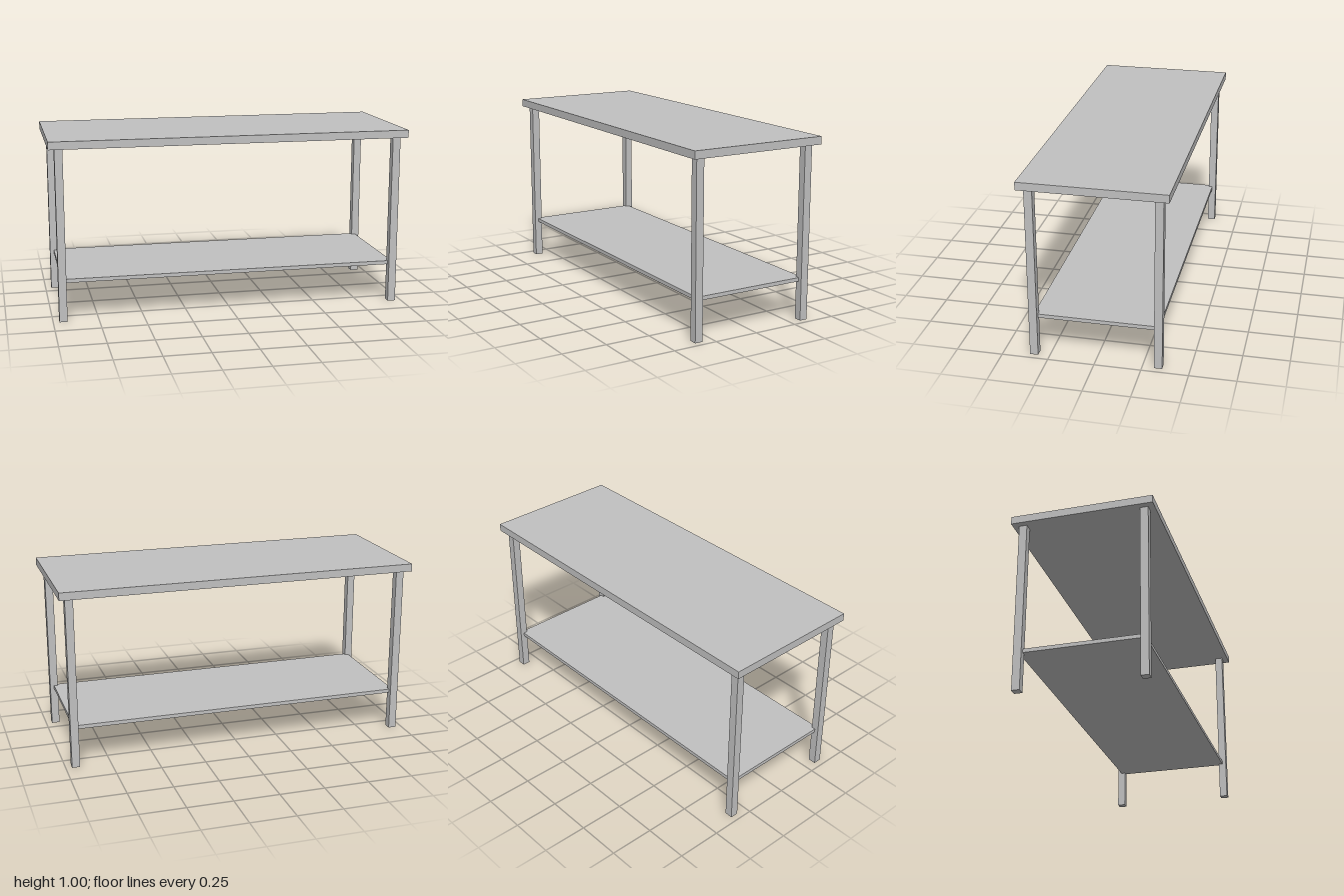
import * as THREE from 'three';

export function createModel() {
  const model = new THREE.Group();
  model.name = 'workTable';
  const steel = new THREE.MeshStandardMaterial({ color: 0xc0c0c0 });
  steel.name = 'light grey steel';

  // Box spanning y0..y1, centred on (x, z)
  const addBox = (name, width, depth, y0, y1, x = 0, z = 0) => {
    const mesh = new THREE.Mesh(new THREE.BoxGeometry(width, y1 - y0, depth), steel);
    mesh.name = name;
    mesh.position.set(x, (y0 + y1) / 2, z);
    model.add(mesh);
  };

  const legX = 0.944, legZ = 0.334, legSize = 0.044, topUnderside = 0.957;

  addBox('tableTop', 2, 0.778, topUnderside, 1);

  // Lower shelf, its corners let into the middle of the legs
  addBox('lowerShelf', legX * 2, legZ * 2, 0.214, 0.235);

  // Four square legs
  for (const [side, sx] of [['Left', 1], ['Right', -1]]) {
    for (const [end, sz] of [['front', 1], ['back', -1]]) {
      addBox(`${end}${side}Leg`, legSize, legSize, 0, topUnderside, sx * legX, sz * legZ);
    }
  }
  return model;
}
